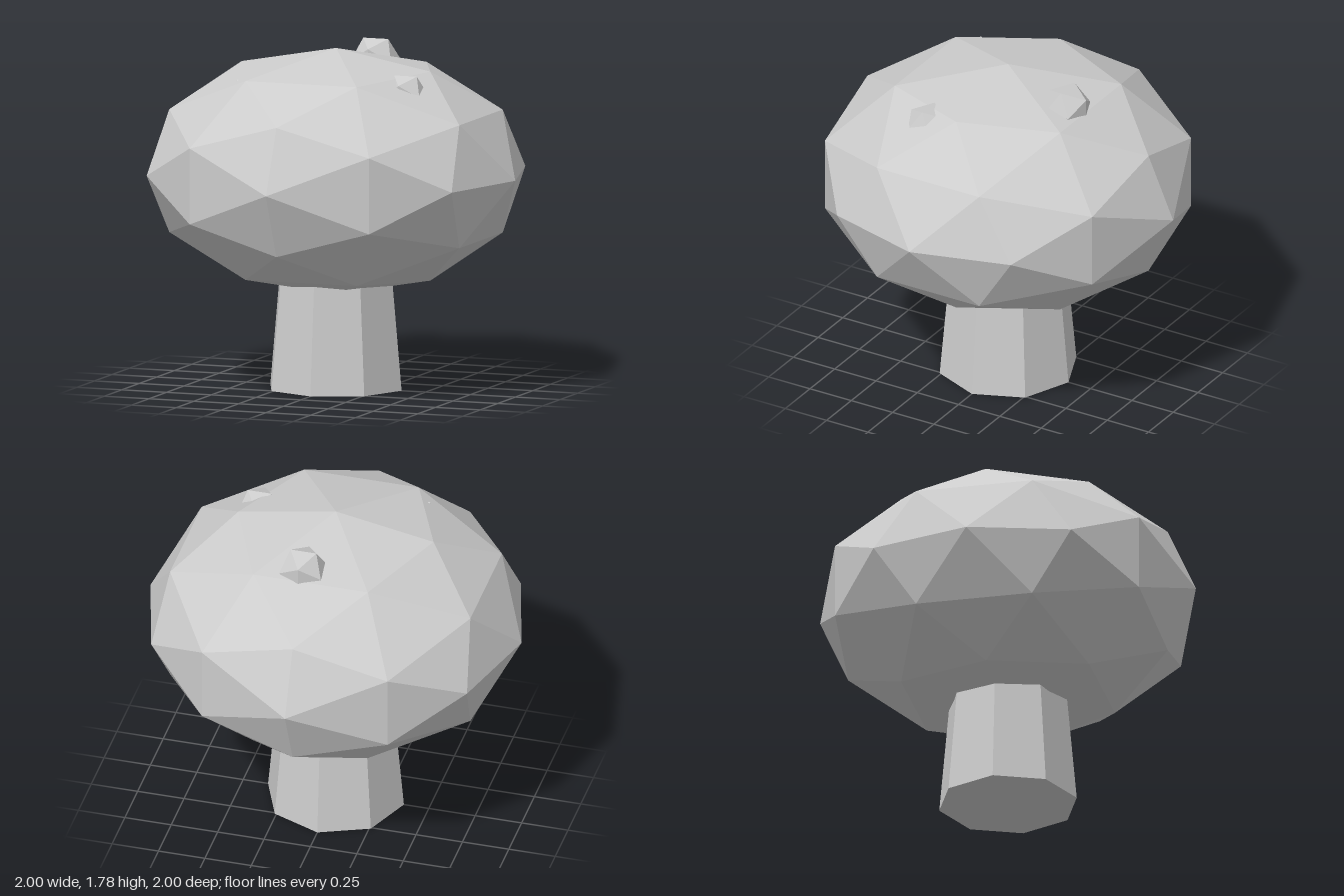
import * as THREE from 'three';

export function createModel() {
  const group = new THREE.Group();
  const grey = new THREE.MeshStandardMaterial({ color: 0xcccccc, flatShading: true });
  grey.name = 'pale grey';

  const add = (name, geometry, x, y, z) => {
    const mesh = new THREE.Mesh(geometry, grey);
    mesh.name = name;
    mesh.position.set(x, y, z);
    group.add(mesh);
    return mesh;
  };

  // Tapered eight-sided stem, its top buried in the cap
  add('stem', new THREE.CylinderGeometry(0.3, 0.366, 0.73, 8), 0, 0.365, 0);

  // Squashed faceted cap
  add('cap', new THREE.IcosahedronGeometry(1, 1).scale(1, 0.645, 1), 0, 1.135, 0);

  // Half-sunken warts: radius, x, y, z
  const warts = [
    [0.132, 0.065, 1.668, -0.4],
    [0.12, 0.467, 1.582, 0.203],
    [0.105, -0.342, 1.557, 0.4],
  ];
  warts.forEach(([r, x, y, z], i) => {
    add(`wart${i + 1}`, new THREE.IcosahedronGeometry(r, 0), x, y, z);
  });

  return group;
}
